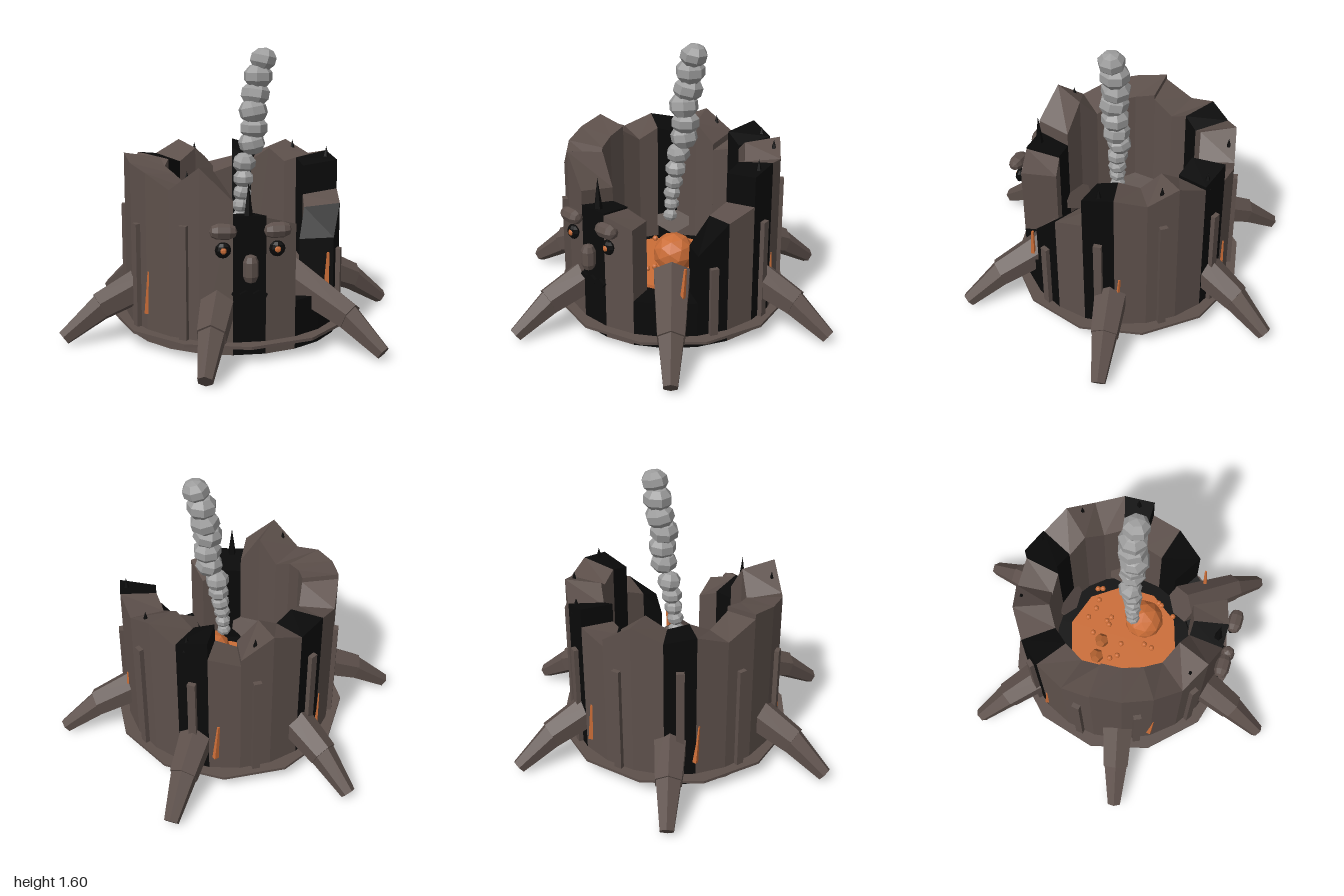
import * as THREE from 'three';

const RAD = Math.PI / 180;
const mat = (name, color) => {
  const m = new THREE.MeshStandardMaterial({ color });
  m.name = name;
  return m;
};

// Faceted normals for the low-poly look
function flat(geo) {
  const g = geo.index ? geo.toNonIndexed() : geo;
  g.computeVertexNormals();
  return g;
}

export function createModel() {
  const bark = mat('bark', 0x5d504b);
  const char = mat('char', 0x0a0a0a);
  const glow = mat('glow', 0xcb6d37);
  const ember = mat('ember', 0xb0602f);
  const smoke = mat('smoke', 0x9c9c9c);

  const root = new THREE.Group();
  root.name = 'burntStump';

  const add = (name, geo, material, x = 0, y = 0, z = 0, parent = root) => {
    const mesh = new THREE.Mesh(flat(geo), material);
    mesh.name = name;
    mesh.position.set(x, y, z);
    parent.add(mesh);
    return mesh;
  };
  // Group turned so that its local +z points outward at the given angle
  const spoke = (name, deg) => {
    const g = new THREE.Group();
    g.name = name;
    g.rotation.y = deg * RAD;
    root.add(g);
    return g;
  };

  // Trunk planks: heights of both top corners, going round from the front
  const R_OUT = 0.617, R_IN = 0.415, BOTTOM = 0.03;
  const tops = [
    [0.78, 0.78], [0.77, 0.72], [0.3, 0.3], [0.3, 0.3], [0.58, 0.74], [0.74, 0.79],
    [0.96, 0.99], [0.99, 0.95], [0.95, 1.02], [1.02, 0.94], [0.96, 1.01], [0.9, 0.86],
    [0.9, 1.02], [1.02, 0.95], [0.95, 0.98], [0.98, 0.92], [0.92, 1.0], [1.03, 1.0],
    [1.0, 0.97], [0.97, 0.9], [0.9, 1.03], [1.03, 0.86],
  ];
  const STEP = 360 / tops.length, HALF = (STEP / 2) * RAD;
  const charred = [0, 2, 3, 4, 6, 10, 14];
  tops.forEach((h, k) => {
    const geo = new THREE.BoxGeometry(1, 1, 1);
    const p = geo.attributes.position;
    for (let i = 0; i < p.count; i++) {
      const side = Math.sign(p.getX(i)), outer = p.getZ(i) > 0, r = outer ? R_OUT : R_IN;
      const top = h[side > 0 ? 1 : 0] - (outer ? 0 : 0.03);
      p.setXYZ(i, side * r * Math.sin(HALF), p.getY(i) > 0 ? top : BOTTOM, r * Math.cos(HALF));
    }
    add('plank', geo, charred.includes(k) ? char : bark, 0, 0, 0, spoke('plankSpoke', k * STEP));
  });

  // Thin flange round the foot
  const ring = new THREE.Shape();
  const hole = new THREE.Path();
  for (let i = 0; i < 12; i++) {
    const a = i * 30 * RAD, f = i ? 'lineTo' : 'moveTo';
    ring[f](Math.sin(a) * 0.69, Math.cos(a) * 0.69);
    hole[f](Math.sin(a) * 0.55, Math.cos(a) * 0.55);
  }
  ring.holes.push(hole);
  const flange = new THREE.ExtrudeGeometry(ring, { depth: 0.016, bevelEnabled: false });
  add('footFlange', flange.rotateX(-Math.PI / 2), bark, 0, 0.084, 0);

  // Hollow floor with a glowing bed
  add('hollowFloor', new THREE.CylinderGeometry(0.425, 0.425, 0.12, 22), char, 0, 0.17, 0);
  add('emberBed', new THREE.CylinderGeometry(0.34, 0.34, 0.02, 10), glow, 0, 0.24, 0);
  add('largeEmber', new THREE.IcosahedronGeometry(0.12, 1), glow, 0.11, 0.38, 0.1);
  for (const x of [-0.175, -0.07]) add('emberRock', new THREE.DodecahedronGeometry(0.045), ember, x, 0.28, -0.12);
  const sparks = [
    [0.06, -0.25], [0.13, -0.22], [0.19, -0.22], [0.26, -0.25], [0.27, -0.22], [-0.03, -0.19],
    [-0.28, -0.13], [0.05, -0.11], [0.1, -0.11], [0.07, -0.13], [-0.16, -0.04], [-0.13, 0],
    [-0.05, 0], [-0.2, 0.1], [-0.01, 0.14], [-0.02, 0.19], [0.24, 0.12], [0.25, 0.04],
    [0.24, -0.05], [0.27, 0.17], [0.2, 0.18], [0.22, 0.26], [0.28, 0.15],
  ];
  for (const [x, z] of sparks) add('spark', new THREE.SphereGeometry(0.018, 7, 5), glow, x, 0.262, z);

  // Roots: two tapering six-sided lengths each
  const limb = (name, parent, [z0, y0, r0], [z1, y1, r1]) => {
    const dir = new THREE.Vector3(0, y1 - y0, z1 - z0);
    const geo = new THREE.CylinderGeometry(r1, r0, dir.length(), 6);
    const m = add(name, geo, bark, 0, (y0 + y1) / 2, (z0 + z1) / 2, parent);
    m.quaternion.setFromUnitVectors(new THREE.Vector3(0, 1, 0), dir.normalize());
  };
  for (let i = 0; i < 6; i++) {
    const g = spoke('root', 44 + i * 60);
    limb('rootUpper', g, [0.4, 0.365, 0.115], [0.8, 0.195, 0.083]);
    limb('rootLower', g, [0.78, 0.2, 0.079], [1.005, 0.04, 0.043]);
  }

  // Upright bark ridges on every second plank: top heights
  const ridges = [0.5, 0.68, 0.8, 0.72, 0.74, 0.78, 0.72, 0.68, 0.72];
  ridges.forEach((top, i) => {
    add('barkRidge', new THREE.BoxGeometry(0.045, top - 0.07, 0.035), bark, 0, (top + 0.07) / 2, 0.62,
      spoke('ridgeSpoke', (i + 2) * 2 * STEP));
  });

  // Glowing cracks: angle, middle height, length
  const cracks = [[176, 0.3, 0.24], [238, 0.3, 0.24], [303, 0.31, 0.24], [50, 0.38, 0.26], [108, 0.32, 0.24]];
  for (const [a, y, len] of cracks) {
    const c = add('glowingCrack', new THREE.CylinderGeometry(0.008, 0.019, len, 4), glow, 0, y, 0.612,
      spoke('crackSpoke', a));
    c.rotation.z = -0.08;
  }

  // Charred splinters: x, z, base height, length
  const splinters = [
    [0, 0.57, 0.72, 0.23], [-0.31, 0.48, 0.88, 0.12], [-0.16, -0.55, 0.88, 0.12],
    [0.43, -0.38, 0.91, 0.12], [0.57, -0.08, 0.91, 0.12], [0.2, -0.55, 0.92, 0.09],
  ];
  for (const [x, z, y, len] of splinters)
    add('splinter', new THREE.ConeGeometry(0.032, len, 5), char, x, y + len / 2, z);

  // Face
  for (const s of [-1, 1]) {
    const brow = new THREE.CapsuleGeometry(0.042, 0.062, 2, 8).rotateZ(Math.PI / 2);
    add('brow', brow, bark, s * 0.142, 0.71, 0.64).rotation.z = s * 0.04;
    add('eye', new THREE.SphereGeometry(0.043, 8, 6).scale(1, 1, 0.6), char, s * 0.142, 0.61, 0.632);
    add('pupil', new THREE.SphereGeometry(0.018, 6, 5).scale(1, 1, 0.6), glow, s * 0.142, 0.61, 0.652);
  }
  add('nose', new THREE.CapsuleGeometry(0.041, 0.075, 2, 8), bark, 0, 0.51, 0.65);
  for (let i = -2; i <= 2; i++)
    add('mouthPiece', new THREE.BoxGeometry(0.045, 0.022, 0.03), char, i * 0.035, 0.365, 0.615)
      .rotation.z = i % 2 ? 0.5 : -0.5;

  // Smoke column: x, y, z, radius
  const puffs = [
    [0.03, 0.58, 0.05, 0.042], [0.035, 0.65, 0.045, 0.046], [0.04, 0.72, 0.045, 0.05],
    [0.05, 0.79, 0.04, 0.055], [0.06, 0.87, 0.035, 0.062], [0.065, 0.96, 0.02, 0.07],
    [0.11, 1.07, 0.02, 0.08], [0.12, 1.16, 0.02, 0.083], [0.115, 1.255, 0.03, 0.086],
    [0.13, 1.35, 0.01, 0.086], [0.145, 1.45, 0.01, 0.086], [0.175, 1.545, 0.015, 0.078],
  ];
  puffs.forEach(([x, y, z, r], i) => {
    const geo = new THREE.SphereGeometry(r, 7, 5).rotateX(0.25 * (i % 3 - 1)).rotateY(i * 1.3).scale(1, 0.85, 1);
    add('smokePuff', geo, smoke, x, y, z);
  });

  return root;
}
